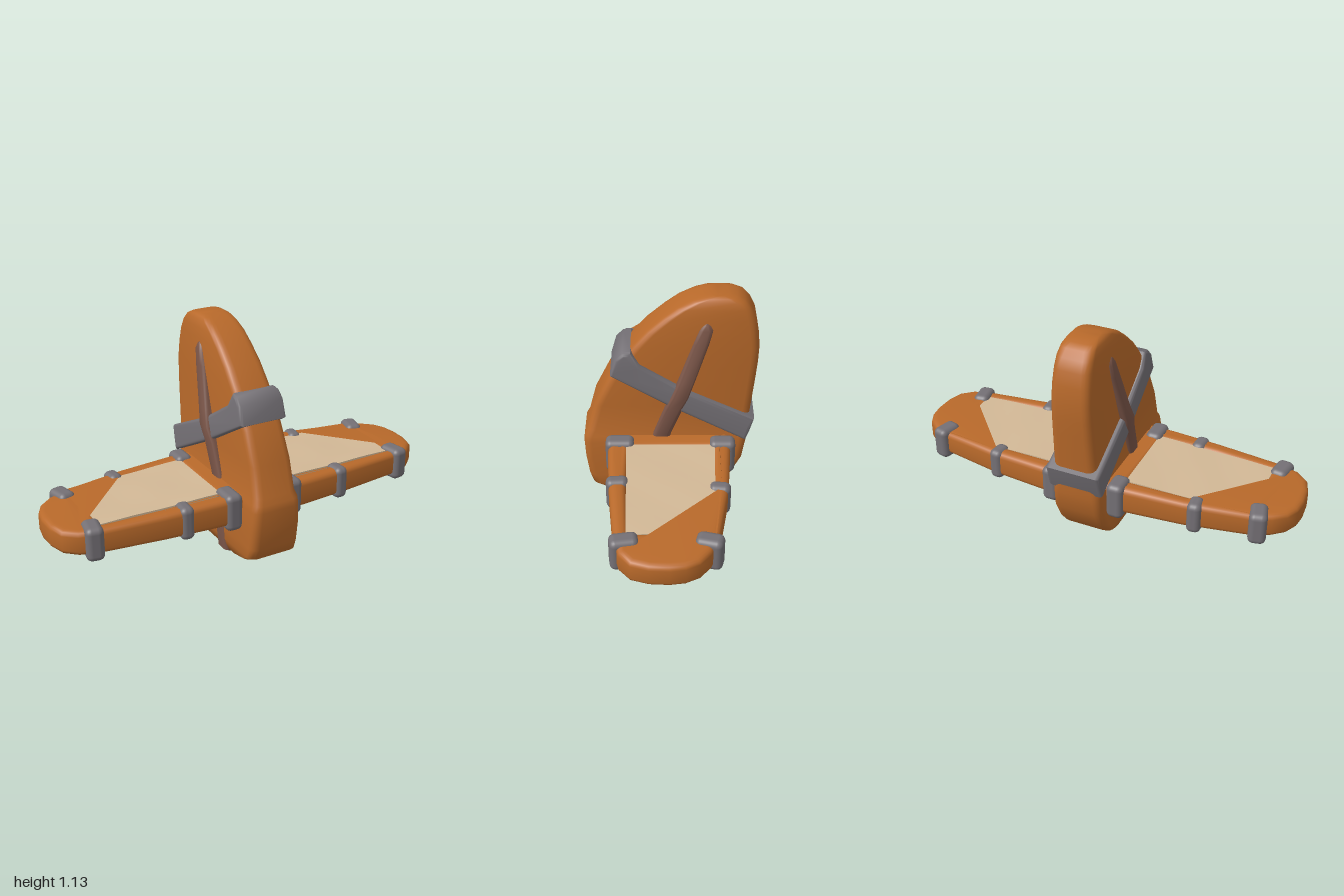
import * as THREE from 'three';
import { toCreasedNormals } from 'three/addons/utils/BufferGeometryUtils.js';
import { RoundedBoxGeometry } from 'three/addons/geometries/RoundedBoxGeometry.js';

const material = (name, color) => {
  const m = new THREE.MeshStandardMaterial({ color });
  m.name = name;
  return m;
};

// Stack of rounded rectangles; each row is [y, front z, back z, half width]
function loft(rows, radius) {
  const steps = 4, pos = [], index = [];
  const n = 4 * (steps + 1);
  for (const [y, zf, zb, hx] of rows) {
    const hz = (zf - zb) / 2, cz = (zf + zb) / 2;
    const r = Math.min(radius, hx * 0.9, hz * 0.9);
    for (let q = 0; q < 4; q++) {
      const sx = q === 0 || q === 3 ? 1 : -1, sz = q < 2 ? 1 : -1;
      for (let i = 0; i <= steps; i++) {
        const a = (q + i / steps) * Math.PI / 2;
        pos.push(sx * (hx - r) + r * Math.cos(a), y, cz + sz * (hz - r) + r * Math.sin(a));
      }
    }
  }
  for (let k = 0; k < rows.length - 1; k++) {
    for (let i = 0; i < n; i++) {
      const a = k * n + i, b = k * n + (i + 1) % n;
      index.push(a, a + n, b, b, a + n, b + n);
    }
  }
  // end caps
  const top = (rows.length - 1) * n;
  for (let i = 1; i < n - 1; i++) {
    index.push(0, i, i + 1, top, top + i + 1, top + i);
  }
  const g = new THREE.BufferGeometry();
  g.setAttribute('position', new THREE.Float32BufferAttribute(pos, 3));
  g.setIndex(index);
  return toCreasedNormals(g, 0.9);
}

// Bevelled extrusion, centred on its depth
function slab(shape, depth, bevel) {
  const g = new THREE.ExtrudeGeometry(shape, {
    depth: depth - 2 * bevel, bevelEnabled: true, bevelThickness: bevel,
    bevelSize: bevel, bevelOffset: -bevel, bevelSegments: 4, curveSegments: 8,
  });
  return g.translate(0, 0, -depth / 2 + bevel);
}

function warp(g, rule) {
  const p = g.attributes.position, v = new THREE.Vector3();
  for (let i = 0; i < p.count; i++) {
    rule(v.fromBufferAttribute(p, i));
    p.setXYZ(i, v.x, v.y, v.z);
  }
  return g;
}

export function createModel() {
  const group = new THREE.Group();
  const wood = material('orange wood', 0xb8692a);
  const strap = material('grey strap', 0x747075);
  const brace = material('brown brace', 0x7a5548);
  const cloth = material('beige cloth', 0xd2b896);
  const add = (name, geometry, mat) => {
    const mesh = new THREE.Mesh(geometry, mat);
    mesh.name = name;
    group.add(mesh);
    return mesh;
  };

  // Upright fin with a slightly wider base
  add('fin', loft([
    [0.012, 0.12, -0.1, 0.09], [0.03, 0.24, -0.18, 0.115], [0.06, 0.34, -0.235, 0.125],
    [0.085, 0.385, -0.265, 0.13], [0.14, 0.402, -0.31, 0.13], [0.24, 0.415, -0.36, 0.13],
    [0.34, 0.42, -0.377, 0.125], [0.375, 0.416, -0.377, 0.121], [0.405, 0.4, -0.38, 0.112],
    [0.55, 0.362, -0.395, 0.108], [0.7, 0.29, -0.41, 0.104], [0.78, 0.24, -0.417, 0.102],
    [0.87, 0.175, -0.42, 0.1], [0.95, 0.107, -0.412, 0.097], [1.02, 0.03, -0.398, 0.093],
    [1.07, -0.035, -0.375, 0.09], [1.105, -0.1, -0.345, 0.084], [1.122, -0.145, -0.31, 0.076],
    [1.13, -0.18, -0.27, 0.06],
  ], 0.04), wood);

  // Slanted brace showing on both sides of the fin and under it
  add('brace', loft([
    [0, 0.13, 0.075, 0.1], [0.02, 0.147, 0.058, 0.13], [0.1, 0.14, 0.05, 0.135],
    [0.2, 0.125, 0.035, 0.134], [0.4, 0.078, -0.01, 0.13], [0.55, 0.022, -0.066, 0.137],
    [0.62, -0.008, -0.092, 0.148], [0.7, -0.04, -0.12, 0.137], [0.9, -0.11, -0.185, 0.115],
    [0.97, -0.135, -0.203, 0.107], [0.995, -0.15, -0.195, 0.1], [1.005, -0.165, -0.18, 0.094],
  ], 0.02), brace);

  // Diagonal strap around the fin, drawn as (-z, y)
  const strapShape = new THREE.Shape([
    [-0.28, 0.73], [0.02, 0.55], [0.37, 0.365], [0.39, 0.42], [0.41, 0.49], [0.08, 0.65],
    [-0.14, 0.79], [-0.18, 0.86], [-0.22, 0.855], [-0.255, 0.82],
  ].map(([a, b]) => new THREE.Vector2(a, b)));
  const strapGeo = slab(strapShape, 0.26, 0.018).rotateY(Math.PI / 2);
  warp(strapGeo, v => { v.x *= (0.162 - 0.052 * v.y) / 0.13; });
  add('finStrap', toCreasedNormals(strapGeo, 0.9), strap);

  // Wing frame with one opening on each side, drawn as (x, -z)
  const half = [
    [0, 0.3], [0.25, 0.295], [0.5, 0.28], [0.8, 0.25], [0.91, 0.222], [0.97, 0.17],
    [0.995, 0.09], [1, 0], [0.99, -0.07], [0.96, -0.13], [0.9, -0.18], [0.8, -0.22],
    [0.5, -0.272], [0.2, -0.295], [0, -0.3],
  ];
  const outline = [...half, ...half.slice(1, -1).reverse().map(([x, z]) => [-x, z])];
  const wingShape = new THREE.Shape(outline.map(([x, z]) => new THREE.Vector2(x, -z)));
  for (const s of [1, -1]) {
    wingShape.holes.push(new THREE.Path(
      [[0.2, 0.2], [0.5, 0.2], [0.79, 0.185], [0.79, -0.175], [0.5, -0.2], [0.2, -0.21]]
        .map(([x, z]) => new THREE.Vector2(s * x, -z))));
  }
  const wingGeo = slab(wingShape, 0.15, 0.03).rotateX(-Math.PI / 2);
  warp(wingGeo, v => { v.y = 0.313 + v.y * (1 - 0.22 * Math.abs(v.x)); });
  add('wingFrame', toCreasedNormals(wingGeo, 0.9), wood);

  for (const s of [1, -1]) {
    // Cloth panel filling the opening, gently uneven
    const panel = new THREE.BoxGeometry(0.61, 0.14, 0.43, 14, 1, 10);
    warp(panel, v => {
      const x = v.x + 0.495;
      v.z = v.z * (1.02 - 0.13 * x) - 0.005;
      v.y *= 1 - 0.2 * x + 0.03 * Math.sin(x * 17) * Math.cos(v.z * 12);
      v.x = x * s;
      v.y += 0.314;
    });
    if (s < 0) panel.index.array.reverse();
    panel.computeVertexNormals();
    add(s > 0 ? 'leftCloth' : 'rightCloth', toCreasedNormals(panel, 0.6), cloth);

    // Straps around the wing rails: [x, centre z, width, height, depth, turn]
    const straps = [
      [0.165, 0.24, 0.085, 0.185, 0.14, 0],
      [s > 0 ? 0.45 : 0.4, 0.243, 0.07, 0.165, 0.105, 0.06],
      [0.835, 0.2, 0.085, 0.165, 0.13, 0.15],
      [0.17, -0.257, 0.085, 0.185, 0.125, 0],
      [s > 0 ? 0.49 : 0.55, -0.233, 0.07, 0.16, 0.1, -0.12],
      [0.835, -0.175, 0.085, 0.165, 0.125, -0.25],
    ];
    for (const [x, z, w, h, d, turn] of straps) {
      const m = add('wingStrap', new RoundedBoxGeometry(w, h, d, 3, 0.028), strap);
      m.position.set(s * x, 0.309, z);
      m.rotation.y = s * turn;
    }
  }
  return group;
}
